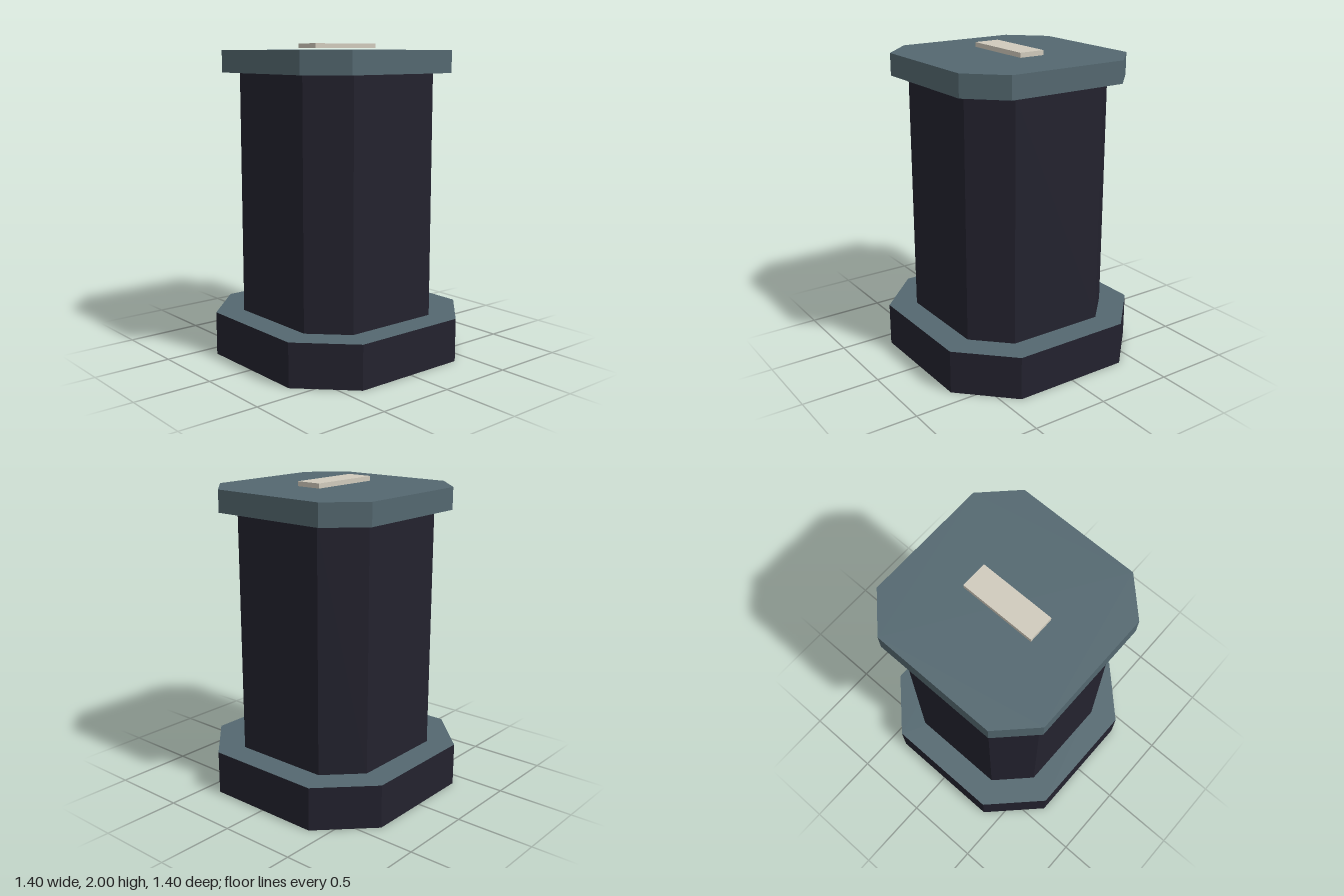
import * as THREE from 'three';

const mat = (name, color) => {
  const m = new THREE.MeshStandardMaterial({ color });
  m.name = name;
  return m;
};

// Upright prism on a square with cut corners: r = half width, f = half length of a straight side
function prism(name, r, f, y0, y1, body, top = body) {
  const shape = new THREE.Shape([
    [r, -f], [r, f], [f, r], [-f, r], [-r, f], [-r, -f], [-f, -r], [f, -r],
  ].map(([x, y]) => new THREE.Vector2(x, y)));
  const geo = new THREE.ExtrudeGeometry(shape, { depth: y1 - y0, bevelEnabled: false });
  geo.rotateX(-Math.PI / 2);
  geo.translate(0, y0, 0);
  // Groups: bottom lid (6 triangles), top lid (6 triangles), walls
  geo.clearGroups();
  geo.addGroup(0, 18, 0);
  geo.addGroup(18, 18, 1);
  geo.addGroup(36, 48, 0);
  const mesh = new THREE.Mesh(geo, [body, top]);
  mesh.name = name;
  return mesh;
}

export function createModel() {
  const dark = mat('darkStone', 0x23222e);
  const slate = mat('slate', 0x546870);
  const ivory = mat('ivory', 0xd0cabc);

  const model = new THREE.Group();
  model.name = 'pedestal';

  model.add(
    prism('base', 0.7, 0.39, 0, 0.28, dark, slate),
    prism('column', 0.53, 0.32, 0.28, 1.82, dark),
    prism('cap', 0.61, 0.4, 1.82, 1.96, slate),
  );

  // Small plaque just above the cap
  const plaque = new THREE.Mesh(new THREE.BoxGeometry(0.49, 0.03, 0.17), ivory);
  plaque.name = 'plaque';
  plaque.position.y = 1.985;
  model.add(plaque);

  return model;
}
